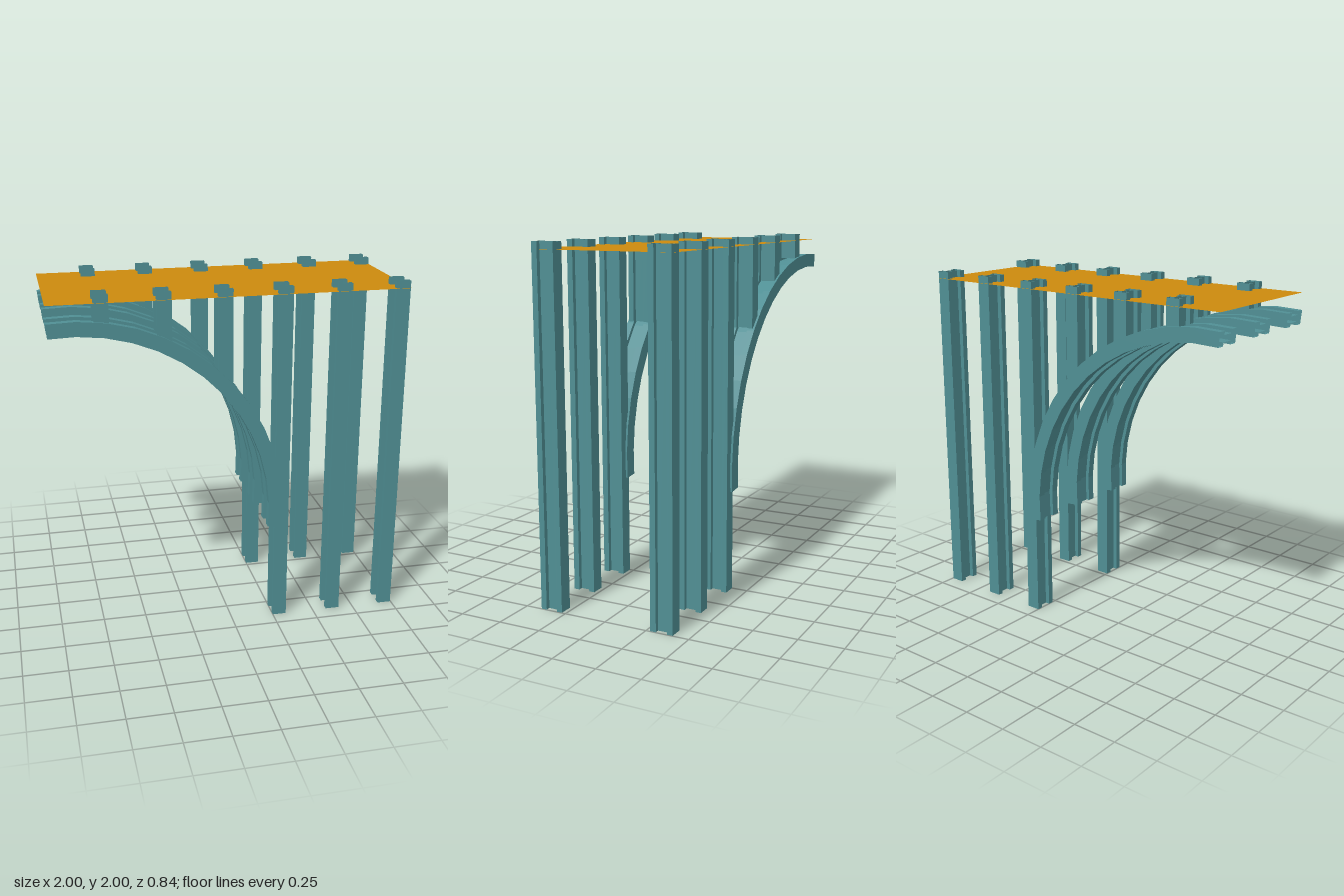
import * as THREE from 'three';

const steel = new THREE.MeshStandardMaterial({ color: 0x508f94, flatShading: true, side: THREE.DoubleSide });
const orange = new THREE.MeshStandardMaterial({ color: 0xcc8a0d, side: THREE.DoubleSide });

// H-shaped outline, counter-clockwise: two flanges joined by a thin web.
// u runs across the flange, v from one flange to the other.
function hSection(halfU, halfV, webU, innerV) {
  return [
    [halfU, -halfV], [halfU, -innerV], [webU, -innerV], [webU, innerV], [halfU, innerV], [halfU, halfV],
    [-halfU, halfV], [-halfU, innerV], [-webU, innerV], [-webU, -innerV], [-halfU, -innerV], [-halfU, -halfV],
  ];
}

// Open-ended skin through a row of matching cross-sections
function skin(rings) {
  const pos = [];
  for (let i = 0; i < rings.length - 1; i++) {
    const n = rings[i].length;
    for (let j = 0; j < n; j++) {
      const k = (j + 1) % n;
      const a = rings[i][j], b = rings[i][k], c = rings[i + 1][k], d = rings[i + 1][j];
      pos.push(...a, ...b, ...c, ...a, ...c, ...d);
    }
  }
  const g = new THREE.BufferGeometry();
  g.setAttribute('position', new THREE.Float32BufferAttribute(pos, 3));
  g.computeVertexNormals();
  return g;
}

export function createModel() {
  const model = new THREE.Group();
  const add = (geometry, material, name, x, y, z) => {
    const mesh = new THREE.Mesh(geometry, material);
    mesh.name = name;
    mesh.position.set(x, y, z);
    model.add(mesh);
  };

  // Thin deck, pierced by the column tops
  add(new THREE.PlaneGeometry(2, 0.83).rotateX(-Math.PI / 2), orange, 'deck', 0, 1.96, 0);

  // Two rows of columns; the first three of each row stand on the arch
  const columnSection = hSection(0.04, 0.066, 0.014, 0.033);
  const bottoms = [1.85, 1.73, 1.485, 0, 0, 0];
  bottoms.forEach((bottom, i) => {
    const geometry = skin([2, bottom].map((y) => columnSection.map(([u, v]) => [u, y, v])));
    for (const z of [0.34, -0.34]) add(geometry, steel, 'column', -0.71 + i / 3, 0, z);
  });

  // Three quarter-circle arch ribs
  const ribSection = hSection(0.04, 0.078, 0.019, 0.035);
  const radius = 1.13, segments = 13, rings = [];
  for (let i = 0; i <= segments; i++) {
    const t = THREE.MathUtils.degToRad(96 - (101.5 * i) / segments);
    rings.push(ribSection.map(([u, v]) => [(radius + u) * Math.cos(t), (radius + u) * Math.sin(t), v]));
  }
  const rib = skin(rings);
  for (const z of [0.34, 0, -0.34]) add(rib, steel, 'archRib', -0.88, 0.7, z);

  return model;
}
